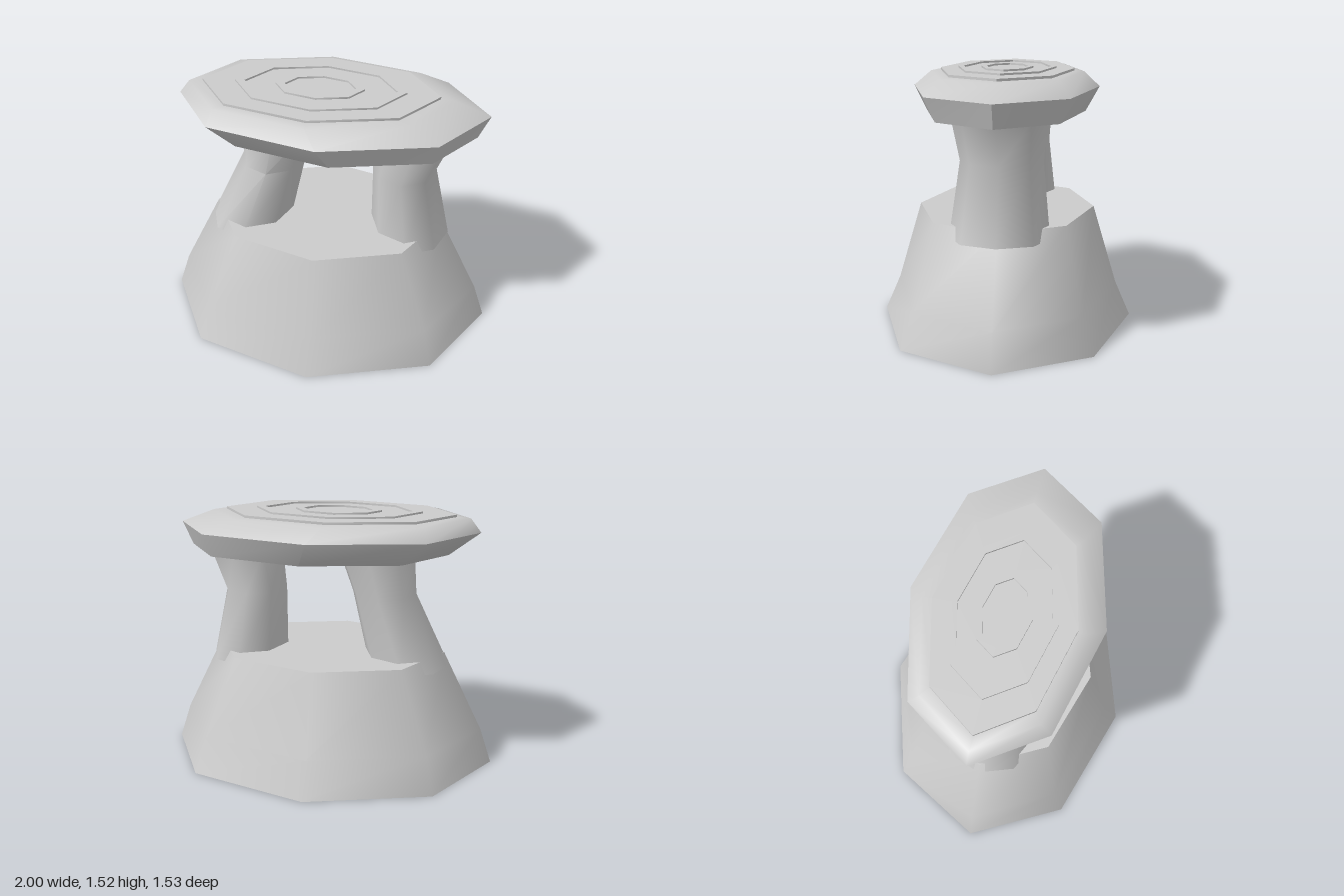
import * as THREE from 'three';
import { toCreasedNormals } from 'three/addons/utils/BufferGeometryUtils.js';

const SIDES = 8;

// Closed octagonal loft through rings [y, centreX, radiusX, radiusZ, centreZ], bottom to top.
function loft(rings) {
  const pos = [], idx = [];
  for (const [y, cx, rx, rz, cz = 0] of rings) {
    for (let i = 0; i < SIDES; i++) {
      const a = (i / SIDES) * Math.PI * 2;
      pos.push(cx + rx * Math.cos(a), y, cz + rz * Math.sin(a));
    }
  }
  const last = (rings.length - 1) * SIDES;
  const bottom = rings.length * SIDES, top = bottom + 1;
  for (const [y, cx, , , cz = 0] of [rings[0], rings[rings.length - 1]]) pos.push(cx, y, cz);
  for (let i = 0; i < SIDES; i++) {
    const n = (i + 1) % SIDES;
    for (let r = 0; r < last; r += SIDES) {
      const a = r + i, b = r + n, c = a + SIDES, d = b + SIDES;
      idx.push(a, c, b, b, c, d);
    }
    idx.push(bottom, i, n, top, last + n, last + i);
  }
  const g = new THREE.BufferGeometry();
  g.setAttribute('position', new THREE.Float32BufferAttribute(pos, 3));
  g.setIndex(idx);
  return toCreasedNormals(g, THREE.MathUtils.degToRad(60));
}

export function createModel() {
  const group = new THREE.Group();
  const stone = new THREE.MeshStandardMaterial({ color: 0xcccccc });
  stone.name = 'palegrey';

  const add = (name, rings) => {
    const mesh = new THREE.Mesh(loft(rings), stone);
    mesh.name = name;
    group.add(mesh);
  };

  // Flared pedestal
  add('base', [
    [0, 0, 1, 0.763],
    [0.21, 0, 0.931, 0.672],
    [0.685, 0, 0.695, 0.53],
  ]);

  // Two bent, waisted legs sunk into the base and the seat
  add('rightLeg', [
    [0.61, -0.48, 0.245, 0.285],
    [1.04, -0.33, 0.19, 0.235, -0.01],
    [1.29, -0.275, 0.228, 0.265],
  ]);
  add('leftLeg', [
    [0.61, 0.503, 0.235, 0.285],
    [1.04, 0.455, 0.187, 0.235, -0.01],
    [1.29, 0.52, 0.225, 0.265],
  ]);

  // Seat slab with a low step and two raised concentric rims
  add('seat', [
    [1.277, 0.08, 0.78, 0.471],
    [1.415, 0.022, 0.903, 0.551],
    [1.495, -0.05, 0.77, 0.461],
    [1.5, -0.05, 0.688, 0.402],
    [1.514, -0.05, 0.688, 0.402],
    [1.514, -0.047, 0.497, 0.295],
    [1.525, -0.047, 0.497, 0.295],
    [1.525, -0.046, 0.441, 0.262],
    [1.514, -0.046, 0.441, 0.262],
    [1.514, -0.048, 0.258, 0.155],
    [1.525, -0.048, 0.258, 0.155],
    [1.525, -0.046, 0.206, 0.124],
    [1.514, -0.046, 0.206, 0.124],
  ]);

  return group;
}
